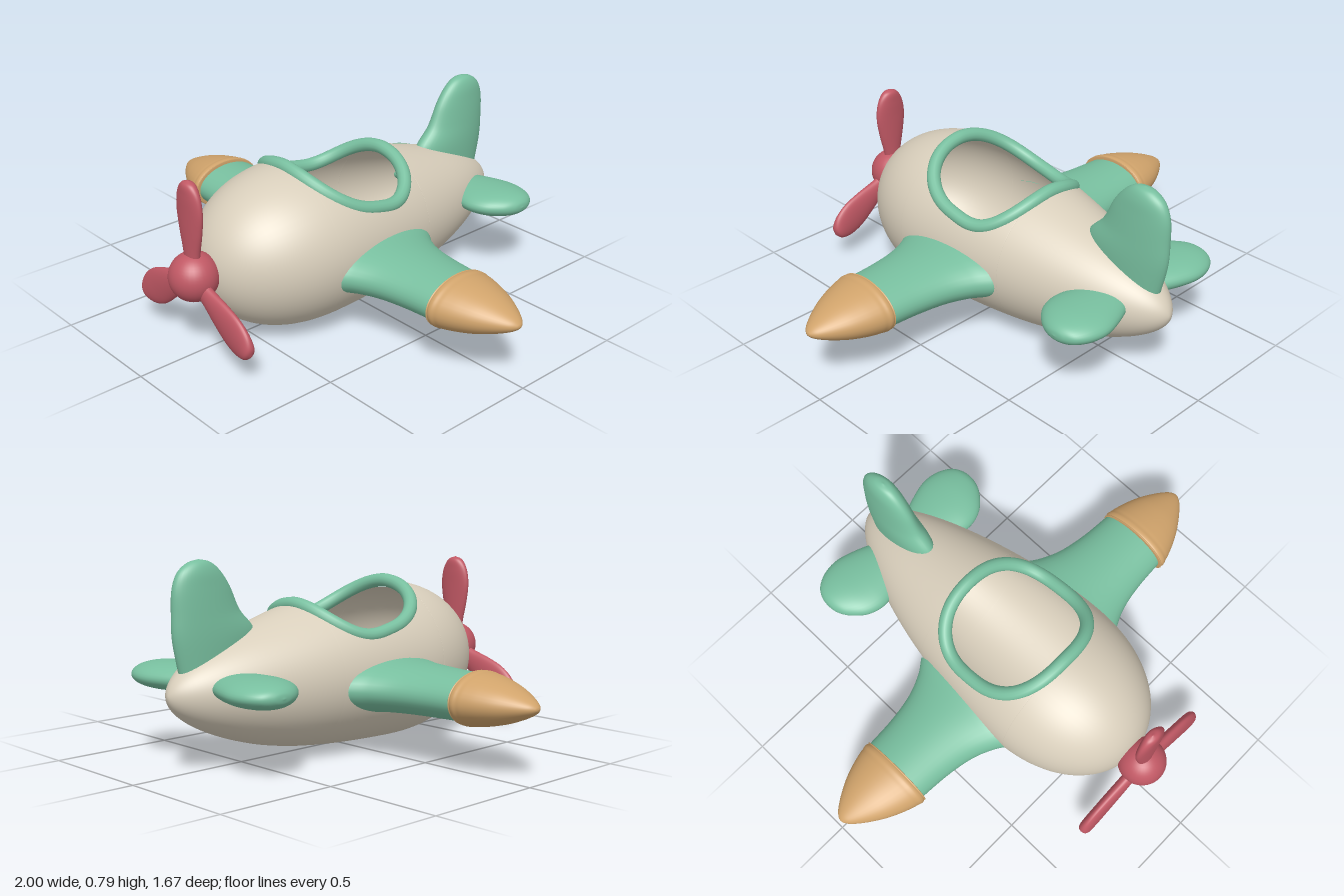
import * as THREE from 'three';
import { mergeVertices } from 'three/addons/utils/BufferGeometryUtils.js';

const paint = (name, color) => Object.assign(new THREE.MeshStandardMaterial({ color }), { name });

// Smooth skin over rings of points; each ring runs the same way round
function loft(rings) {
  const n = rings[0].length, index = [];
  for (let i = 0; i < rings.length - 1; i++) {
    for (let j = 0; j < n - 1; j++) {
      const a = i * n + j, b = a + 1, c = a + n, d = c + 1;
      index.push(a, b, c, b, d, c);
    }
  }
  let geo = new THREE.BufferGeometry().setFromPoints(rings.flat());
  geo.setIndex(index);
  geo = mergeVertices(geo, 1e-5);
  geo.computeVertexNormals();
  return geo;
}

// Oval sections along x, each station: [x, y centre, z centre, y radius, z radius]
function ovalLoft(stations, side = 1, steps = 48, segments = 40) {
  const list = side > 0 ? stations : [...stations].reverse();
  const centre = new THREE.CatmullRomCurve3(
    list.map(([x, y, z]) => new THREE.Vector3(x * side, y, z)), false, 'catmullrom');
  const radius = new THREE.CatmullRomCurve3(
    list.map((s) => new THREE.Vector3(s[3], s[4], 0)), false, 'catmullrom');
  const rings = [];
  for (let i = 0; i <= steps; i++) {
    const c = centre.getPoint(i / steps), r = radius.getPoint(i / steps), ring = [];
    for (let j = 0; j <= segments; j++) {
      const a = (j % segments) / segments * Math.PI * 2;
      ring.push(new THREE.Vector3(c.x, c.y + r.x * Math.cos(a), c.z + r.y * Math.sin(a)));
    }
    rings.push(ring);
  }
  return loft(rings);
}

// Fuselage section at z: centre height and radii
const NOSE = 0.69, TAIL = -0.84, WIDEST = 0.21;
function section(z) {
  let w, h;
  if (z > WIDEST) {
    const u = Math.min(1, (z - WIDEST) / (NOSE - WIDEST));
    w = Math.sqrt(1 - u ** 2.15);
    h = Math.sqrt(1 - u ** 2.4);
  } else {
    const u = Math.min(1, (WIDEST - z) / (WIDEST - TAIL));
    w = (1 - u ** 1.7) ** 0.6;
    h = (1 - u ** 1.7) ** 0.56;
  }
  const back = THREE.MathUtils.smoothstep(-z, -0.2, 0.5);
  return { cy: 0.33 - 0.03 * back, rx: 0.34 * w, ry: 0.325 * h };
}

// Cockpit opening: rounded oblong in plan
const OPEN_FRONT = 0.29, OPEN_BACK = -0.22, POWER = 2.6;
const openMid = (OPEN_FRONT + OPEN_BACK) / 2, openHalf = (OPEN_FRONT - OPEN_BACK) / 2;
function openWidth(z) {
  const u = Math.abs((z - openMid) / openHalf);
  return 0.275 * Math.max(0, 1 - u ** POWER) ** (1 / POWER);
}

const span = (a, b, n) => Array.from({ length: n + 1 },
  (_, k) => a + (b - a) * (1 - Math.cos(Math.PI * k / n)) / 2);

// Shell around the fuselage that leaves the cockpit open
function shell(inset, inward) {
  const zs = [...span(NOSE, OPEN_FRONT, 28), ...span(OPEN_FRONT, OPEN_BACK, 48).slice(1),
    ...span(OPEN_BACK, TAIL, 36).slice(1)];
  if (inward) zs.reverse();
  return loft(zs.map((z) => {
    const { cy, rx, ry } = section(z);
    const a = Math.max(0, rx - inset), b = Math.max(0, ry - inset);
    const w = openWidth(z) * (1 - inset * 2.5);
    const start = a > 0 ? Math.asin(Math.min(1, w / a)) : 0;
    return Array.from({ length: 65 }, (_, j) => {
      const t = start + (Math.PI * 2 - 2 * start) * j / 64;
      return new THREE.Vector3(a * Math.sin(t), cy + b * Math.cos(t), z);
    });
  }));
}

export function createModel() {
  const model = new THREE.Group();
  model.name = 'toyPlane';
  const cream = paint('cream', 0xd8cebb);
  const green = paint('green', 0x78bf9f);
  const red = paint('red', 0xc05864);
  const tan = paint('tan', 0xd0a36b);
  const add = (name, geo, mat, parent = model) => {
    const mesh = new THREE.Mesh(geo, mat);
    mesh.name = name;
    parent.add(mesh);
    return mesh;
  };

  // Fuselage and cockpit lining
  add('fuselage', shell(0, false), cream);
  add('cockpitLining', shell(0.03, true), cream);

  // Padded rim following the saddle-shaped opening
  const rim = [];
  for (let k = 0; k < 48; k++) {
    const a = k / 48 * Math.PI * 2, c = Math.cos(a), s = Math.sin(a);
    const x = Math.sign(c) * Math.abs(c) ** (2 / POWER);
    const z = openMid + openHalf * Math.sign(s) * Math.abs(s) ** (2 / POWER);
    const { cy, rx, ry } = section(z);
    const y = cy + ry * Math.sqrt(1 - (0.277 * x / rx) ** 2);
    rim.push(new THREE.Vector3(0.263 * x, y - 0.008 * Math.abs(x), z));
  }
  add('cockpitRim', new THREE.TubeGeometry(
    new THREE.CatmullRomCurve3(rim, true), 160, 0.028, 14, true), green);

  // Wings, wing tips and tailplanes
  for (const [side, label] of [[1, 'left'], [-1, 'right']]) {
    add(label + 'Wing', ovalLoft([
      [0.3, 0.28, 0.05, 0.107, 0.268], [0.36, 0.28, 0.05, 0.102, 0.225],
      [0.45, 0.28, 0.05, 0.098, 0.186], [0.57, 0.28, 0.05, 0.094, 0.163],
      [0.72, 0.28, 0.05, 0.09, 0.152],
    ], side), green);
    const tip = [[0.7, 0], [0.701, 0.9], [0.708, 0.98], [0.722, 1], [0.738, 0.97], [0.76, 0.94],
      [0.81, 0.84], [0.87, 0.68], [0.93, 0.46], [0.975, 0.25], [0.995, 0.1], [1, 0]];
    add(label + 'WingTip', ovalLoft(tip.map(([x, f]) =>
      [x, 0.28, 0.055 - 0.015 * (x - 0.7) / 0.3, 0.105 * f, 0.165 * f]), side, 77), tan);
    add(label + 'Tailplane', ovalLoft([
      [0.08, 0.33, -0.61, 0.05, 0.1], [0.18, 0.33, -0.62, 0.055, 0.13],
      [0.26, 0.33, -0.625, 0.056, 0.145], [0.33, 0.33, -0.632, 0.052, 0.13],
      [0.385, 0.33, -0.642, 0.04, 0.09], [0.412, 0.33, -0.645, 0.022, 0.045],
      [0.42, 0.33, -0.645, 0, 0],
    ], side), green);
  }

  // Upright tail fin
  add('tailFin', ovalLoft([
    [0.36, 0, -0.63, 0.06, 0.15], [0.5, 0, -0.62, 0.065, 0.19], [0.6, 0, -0.66, 0.058, 0.153],
    [0.69, 0, -0.68, 0.05, 0.129], [0.75, 0, -0.69, 0.042, 0.095], [0.785, 0, -0.69, 0.026, 0.05],
    [0.797, 0, -0.69, 0, 0],
  ]).rotateZ(Math.PI / 2), green);

  // Propeller: hub and three paddle blades
  const propeller = new THREE.Group();
  propeller.name = 'propeller';
  propeller.position.set(0, 0.335, 0.74);
  model.add(propeller);
  add('hub', new THREE.SphereGeometry(0.098, 32, 24), red, propeller).position.z = -0.003;
  for (let k = 0; k < 3; k++) {
    const blade = ovalLoft([
      [0.03, 0, 0, 0.024, 0.034], [0.1, 0, 0, 0.025, 0.042], [0.19, 0, 0, 0.026, 0.063],
      [0.27, 0, 0, 0.026, 0.074], [0.335, 0, 0, 0.026, 0.064], [0.378, 0, 0, 0.022, 0.036],
      [0.393, 0, 0, 0, 0],
    ]).rotateX(Math.PI / 2);
    add('blade' + (k + 1), blade, red, propeller).rotation.z = Math.PI / 2 + k * Math.PI * 2 / 3;
  }
  return model;
}
